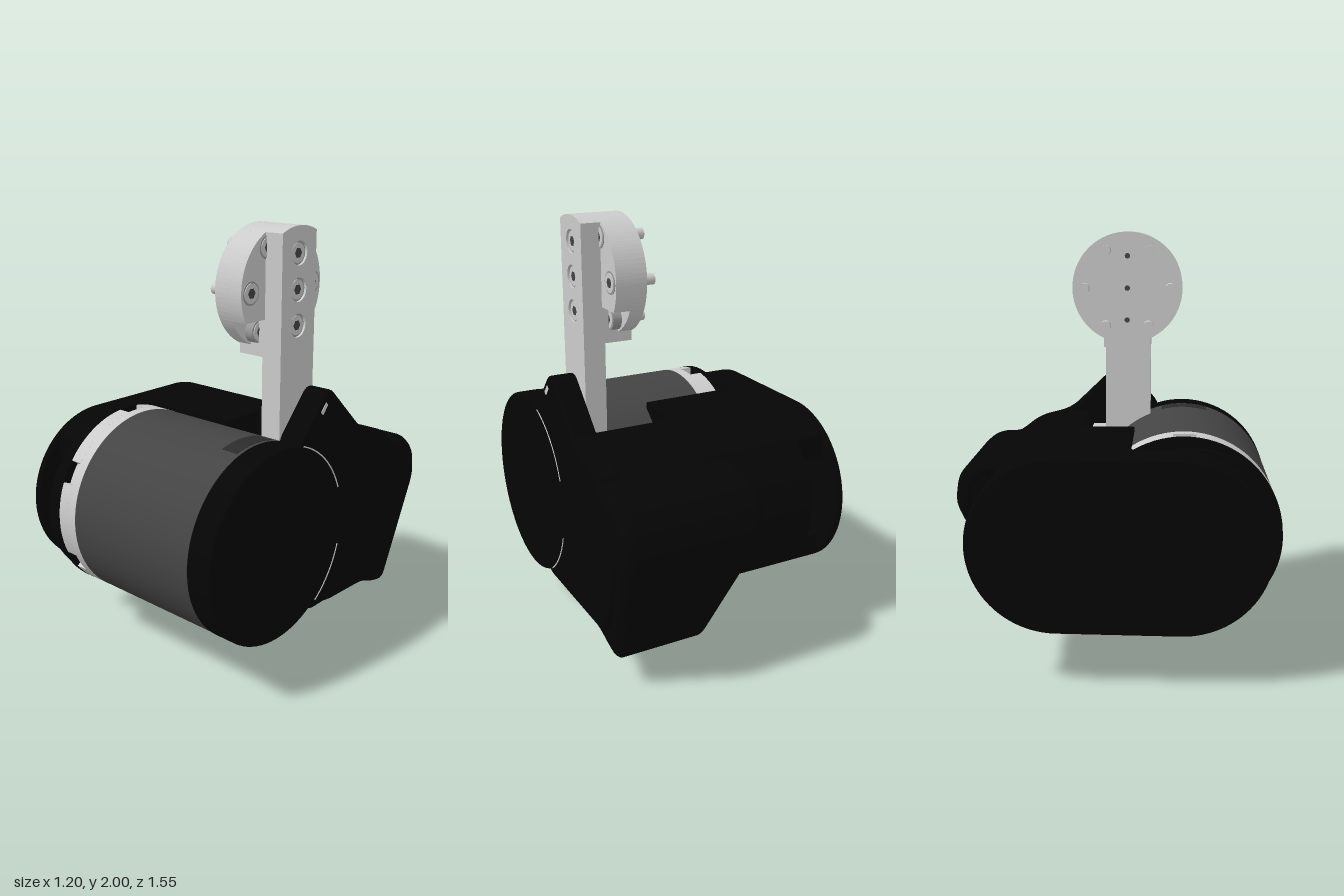
import * as THREE from 'three';

const mat = (color) => new THREE.MeshStandardMaterial({ color });
const BLACK = mat(0x050505), DARK = mat(0x444444), SHADE = mat(0x2c2c2c), LIGHT = mat(0xcccccc), MID = mat(0x999999);
const DY = 0.67, DZ = 0.33, R = 0.445; // drum axis and radius
const HY = 1.73, HZ = 0.047, HR = 0.27; // head disc axis and radius

// Closed outline with rounded corners; points are (u, y) with u = -z
function outline(pts, r) {
  const s = new THREE.Shape();
  const v = pts.map((p) => new THREE.Vector2(...p));
  v.forEach((p, i) => {
    const a = v[(i + v.length - 1) % v.length], b = v[(i + 1) % v.length];
    const toward = (q) => p.clone().lerp(q, Math.min(0.45, r / p.distanceTo(q)));
    const s0 = toward(a), s1 = toward(b);
    if (i === 0) s.moveTo(s0.x, s0.y); else s.lineTo(s0.x, s0.y);
    s.quadraticCurveTo(p.x, p.y, s1.x, s1.y);
  });
  s.closePath();
  return s;
}

const circle = (u, y, r) => new THREE.Shape().absarc(u, y, r, 0, Math.PI * 2);

// Ring segment between two radii and two angles, around the drum axis
function ringSegment(r0, r1, a, b) {
  const s = new THREE.Shape();
  s.absarc(-DZ, DY, r1, a, b, false);
  s.absarc(-DZ, DY, r0, b, a, true);
  return s;
}

export function createModel() {
  const root = new THREE.Group();
  const add = (name, geo, m) => {
    const mesh = new THREE.Mesh(geo, m);
    mesh.name = name;
    root.add(mesh);
    return mesh;
  };
  // Extrude a (u, y) outline along x from x0 to x1
  const slab = (name, shape, x0, x1, m, bevel = 0) => {
    const geo = new THREE.ExtrudeGeometry(shape, {
      depth: x1 - x0 - 2 * bevel, curveSegments: 40, bevelEnabled: bevel > 0,
      bevelSize: bevel, bevelThickness: bevel, bevelOffset: -bevel, bevelSegments: 5,
    });
    geo.translate(0, 0, x0 + bevel);
    geo.rotateY(Math.PI / 2);
    return add(name, geo, m);
  };
  // Cylinder along x
  const rod = (name, r, x0, x1, y, z, m, sides = 24) => {
    const geo = new THREE.CylinderGeometry(r, r, x1 - x0, sides);
    geo.rotateZ(Math.PI / 2);
    geo.translate((x0 + x1) / 2, y, z);
    return add(name, geo, m);
  };
  const box = (name, x0, x1, y0, y1, z0, z1, m) => {
    const geo = new THREE.BoxGeometry(x1 - x0, y1 - y0, z1 - z0);
    geo.translate((x0 + x1) / 2, (y0 + y1) / 2, (z0 + z1) / 2);
    return add(name, geo, m);
  };
  // Upright filler that rounds an inner corner; turn is its heading in quarter turns
  const fillet = (name, x, z, turn, r, y0, y1) => {
    const s = new THREE.Shape();
    s.moveTo(0, 0);
    s.lineTo(r, 0);
    s.absarc(r, r, r, -Math.PI / 2, -Math.PI, true);
    s.closePath();
    const geo = new THREE.ExtrudeGeometry(s, { depth: y1 - y0, bevelEnabled: false, curveSegments: 16 });
    geo.rotateX(Math.PI / 2);
    geo.rotateY((turn * Math.PI) / 2);
    geo.translate(x, y1, z);
    add(name, geo, BLACK);
  };

  // Motor drum with its end caps
  rod('drum', R - 0.002, -0.23, 0.475, DY, DZ, DARK, 96);
  slab('drumCap', circle(-DZ, DY, R), 0.472, 0.6, BLACK, 0.012);
  slab('drumRim', circle(-DZ, DY, R), -0.37, -0.34, BLACK);
  slab('drumBack', circle(-0.37, DY, 0.4), -0.42, -0.36, BLACK);
  slab('drumRecess', ringSegment(R - 0.02, R, 1.32, 1.845), 0.375, 0.46, SHADE);

  // Light band with six slots along one edge
  rod('band', R - 0.001, -0.28, -0.23, DY, DZ, LIGHT, 96);
  rod('bandCore', 0.405, -0.345, -0.27, DY, DZ, LIGHT, 64);
  for (let i = 0; i < 6; i++) {
    const a = Math.PI / 6 + (i * Math.PI) / 3 + 0.12;
    slab('bandTooth', ringSegment(0.4, R - 0.001, a, a + Math.PI / 3 - 0.24), -0.34, -0.28, LIGHT);
  }

  // Outer end plate, joined to the housing by an upper and a lower wall
  const plate = new THREE.Shape();
  plate.absarc(-0.32, DY, 0.4, Math.PI / 2, Math.PI * 1.5, false);
  plate.absarc(0.23, DY, 0.4, -Math.PI / 2, Math.PI / 2, false);
  slab('endPlate', plate, -0.6, -0.563, BLACK, 0.014);
  const e = Math.PI / 2 + 0.7;
  for (const side of [1, -1]) {
    const wall = new THREE.Shape();
    wall.moveTo(-0.58, DY + side * 0.2);
    wall.lineTo(0.49, DY + side * 0.2);
    wall.absarc(0.23, DY, 0.4, side * (Math.PI - e), (side * Math.PI) / 2, side < 0);
    wall.absarc(-0.32, DY, 0.4, (side * Math.PI) / 2, side * e, side < 0);
    wall.closePath();
    wall.curves.forEach((c) => c.updateArcLengths());
    slab(side > 0 ? 'upperWall' : 'lowerWall', wall, -0.57, -0.41, BLACK);
  }
  box('innerBlock', -0.57, -0.5, 0.44, 0.9, -0.3, 0.35, BLACK);

  // Housing behind the drum, with a round back
  const sideHousing = new THREE.Shape();
  sideHousing.moveTo(-0.09, 1.07);
  sideHousing.lineTo(-0.09, 0.27);
  sideHousing.absarc(0.23, DY, 0.4, -Math.PI / 2, Math.PI / 2, false);
  sideHousing.closePath();
  slab('sideHousing', sideHousing, -0.42, 0.07, BLACK, 0.008);

  // Larger gear housing, narrowing towards its foot end
  const main = slab('mainHousing', outline([[-0.12, 0.27], [0.02, 0.27], [0.08, 0.22], [0.4, 0.21],
    [0.5, 0.17], [0.59, 0.15], [0.785, 0.7], [0.765, 0.85], [0.66, 0.94], [0.54, 0.94], [0.42, 1.02],
    [0.27, 1.07], [0.14, 1.07], [0.14, 0.5], [-0.1, 0.4]], 0.06), -0.08, 0.6, BLACK, 0.06);
  const pos = main.geometry.attributes.position;
  for (let i = 0; i < pos.count; i++) {
    const f = THREE.MathUtils.clamp((0.7 - pos.getY(i)) / 0.55, 0, 1);
    pos.setX(i, 0.5 + (pos.getX(i) - 0.5) * (1 - 0.35 * f));
  }
  main.geometry.computeVertexNormals();
  fillet('notchFillet', 0.065, -0.145, 3, 0.13, 0.8, 1.06);
  fillet('backFillet', -0.075, -0.625, 1, 0.07, 0.6, 0.85);

  // Side cover rising to a hump beside the arm
  slab('sideHump', outline([[-0.21, 1.09], [0, 1.325], [0.27, 1.065], [0.44, 1.02], [0.54, 0.94],
    [0.62, 0.9], [0.7, 0.72], [0.55, 0.28], [-0.12, 0.27]], 0.06), 0.475, 0.598, BLACK, 0.016);
  slab('humpSlot', outline([[-0.06, 1.215], [-0.045, 1.2], [-0.01, 1.24], [-0.025, 1.255]], 0.006),
    0.59, 0.6, LIGHT);

  // Thin bright gaps where the cap meets the housing
  for (const [a, b] of [[0.36, 1.22], [-0.93, -0.29]]) {
    slab('capGap', ringSegment(R - 0.001, R + 0.005, a, b), 0.58, 0.6005, LIGHT);
  }

  // Tapered foot leaning forward and sideways under the housing
  const foot = new THREE.Group();
  foot.name = 'foot';
  const profile = [[0, 0.01], [0.105, 0.01], [0.11, 0], [0.135, 0], [0.152, 0.018], [0.215, 0.25], [0, 0.25]];
  const body = new THREE.Mesh(
    new THREE.LatheGeometry(profile.map((p) => new THREE.Vector2(...p)), 48), BLACK);
  body.name = 'footBody';
  const pad = new THREE.Mesh(new THREE.CylinderGeometry(0.105, 0.105, 0.01, 40), DARK);
  pad.name = 'footPad';
  pad.position.y = 0.007;
  foot.add(body, pad);
  foot.position.set(0.16, 0.058, -0.215);
  foot.rotation.set(-0.3, 0, -0.28);
  root.add(foot);

  // Screw with a hex socket facing +x, in a shallow ring
  const screw = (x0, x1, y, z) => {
    rod('screwRing', 0.051, x0, x1 - 0.003, y, z, MID);
    rod('screwHead', 0.043, x0, x1, y, z, LIGHT);
    rod('screwSocket', 0.023, x1 - 0.01, x1 + 0.001, y, z, DARK, 6);
  };

  // Upright arm with a top following the disc and three screw holes
  const arm = new THREE.Shape();
  const half = 0.115, t = Math.asin(half / HR);
  arm.moveTo(-HZ - half, 0.93);
  arm.lineTo(-HZ + half, 0.93);
  arm.absarc(-HZ, HY, HR, Math.PI / 2 - t, Math.PI / 2 + t, false);
  arm.closePath();
  const screwHeights = [-0.155, 0, 0.155].map((d) => HY + d);
  for (const y of screwHeights) {
    arm.holes.push(new THREE.Path().absarc(-HZ, y, 0.052, 0, Math.PI * 2, true));
    screw(0.35, 0.445, y, HZ);
  }
  slab('arm', arm, 0.35, 0.452, LIGHT);
  box('armBoss', 0.22, 0.351, 1.44, 1.62, HZ - half, HZ + half, LIGHT);
  box('armBracket', 0.35, 0.475, 0.85, 1.0, -0.14, -0.06, LIGHT);

  // Head disc: thin full plate plus a thicker upper part
  slab('headPlate', circle(-HZ, HY, HR), 0.216, 0.285, LIGHT);
  const cut = Math.asin(0.125 / HR);
  slab('headBlock', new THREE.Shape().absarc(-HZ, HY, HR, -cut, Math.PI + cut, false), 0.285, 0.362, LIGHT);
  for (let i = 0; i < 6; i++) {
    const a = (i * Math.PI) / 3;
    const y = HY + 0.21 * Math.sin(a), z = HZ + 0.21 * Math.cos(a);
    rod('pin', 0.025, 0.158, 0.22, y, z, LIGHT);
    if (i < 4) screw(0.34, 0.368, y, z);
    else screw(0.28, 0.33, y, z);
  }
  // Small holes on the inner face of the disc
  for (const y of screwHeights) rod('dowelHole', 0.013, 0.2145, 0.22, y, HZ, DARK, 16);

  return root;
}
